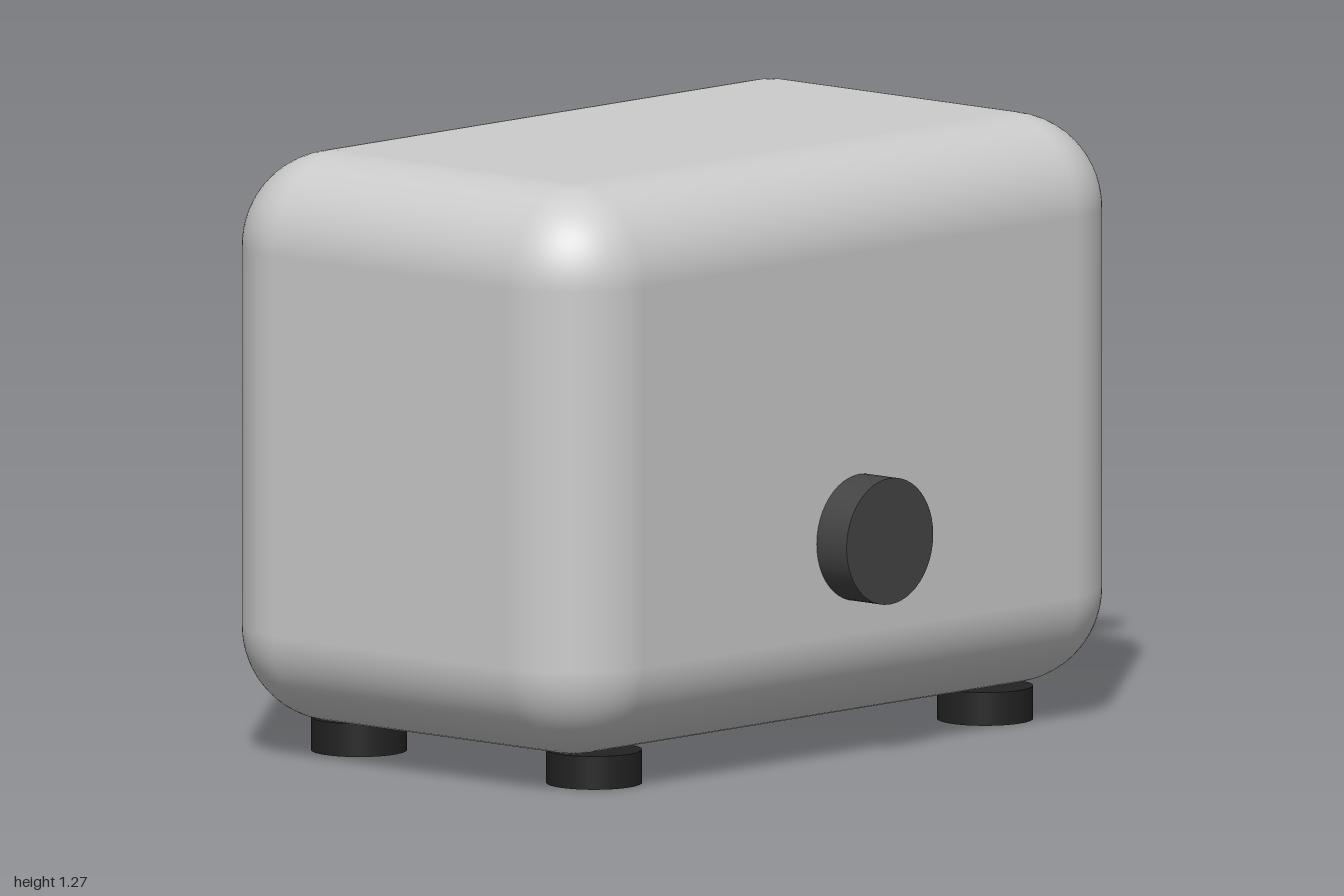
import * as THREE from 'three';
import { RoundedBoxGeometry } from 'three/addons/geometries/RoundedBoxGeometry.js';

export function createModel() {
  const group = new THREE.Group();
  const bodyGrey = new THREE.MeshStandardMaterial({ color: 0xcccccc });
  const black = new THREE.MeshStandardMaterial({ color: 0x222222 });
  const charcoal = new THREE.MeshStandardMaterial({ color: 0x333333 });
  const darkGrey = new THREE.MeshStandardMaterial({ color: 0x444444 });

  function add(name, geometry, material, x, y, z) {
    const mesh = new THREE.Mesh(geometry, material);
    mesh.name = name;
    mesh.position.set(x, y, z);
    group.add(mesh);
    return mesh;
  }

  // Centre of the housing, which the other parts are placed around
  const cx = -0.135, cz = -0.042;

  // Rounded housing
  add('body', new RoundedBoxGeometry(1.73, 1.2, 1.065, 8, 0.2), bodyGrey, cx, 0.67, cz);

  // Lever track and lever on the side
  add('leverTrack', new THREE.BoxGeometry(0.067, 0.665, 0.133), black, 0.732, 0.737, -0.04);
  add('lever', new THREE.BoxGeometry(0.27, 0.1, 0.266), charcoal, 0.865, 0.935, -0.04);

  // Browning knob on the front
  const knob = new THREE.CylinderGeometry(0.133, 0.133, 0.1, 48).rotateX(Math.PI / 2);
  add('knob', knob, darkGrey, cx, 0.47, 0.525);

  // Four round feet
  const footGeometry = new THREE.CylinderGeometry(0.1, 0.1, 0.07, 40);
  for (const [side, sx] of [['left', 1], ['right', -1]]) {
    for (const [end, sz] of [['Front', 1], ['Back', -1]]) {
      add(`${side}${end}Foot`, footGeometry, black, cx + sx * 0.6, 0.035, cz + sz * 0.333);
    }
  }

  return group;
}
